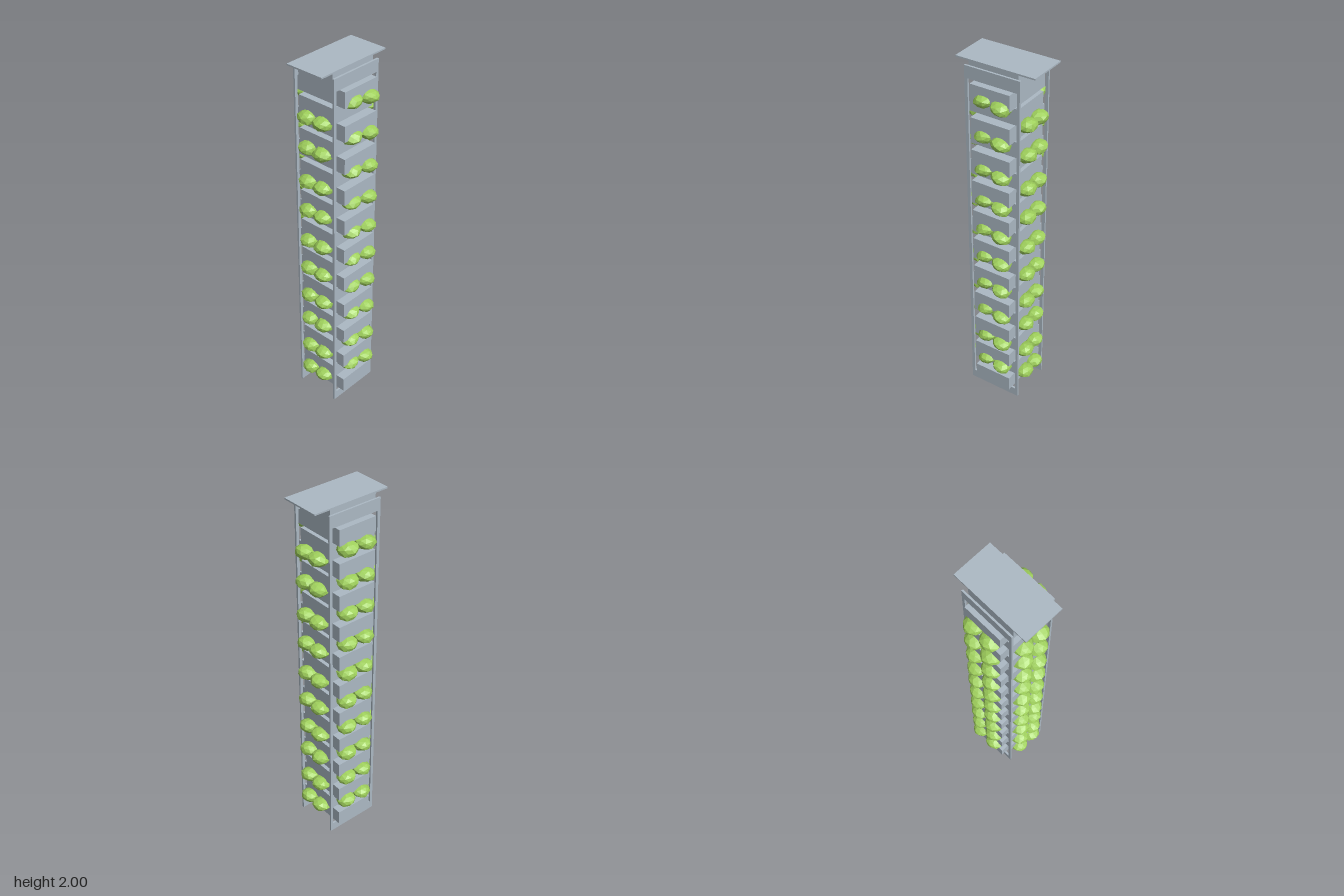
import * as THREE from 'three';

export function createModel() {
  const model = new THREE.Group();
  model.name = 'planterTower';
  const metal = new THREE.MeshStandardMaterial({ color: 0xabb8c3 });
  metal.name = 'blueGreyMetal';
  const leaf = new THREE.MeshStandardMaterial({ color: 0x9fd05c });
  leaf.name = 'leafGreen';

  // Box given by its lower and upper corners
  function box(name, [x0, y0, z0], [x1, y1, z1], parent = model) {
    const mesh = new THREE.Mesh(new THREE.BoxGeometry(x1 - x0, y1 - y0, z1 - z0), metal);
    mesh.position.set((x0 + x1) / 2, (y0 + y1) / 2, (z0 + z1) / 2);
    mesh.name = name;
    parent.add(mesh);
  }

  // Two open upright frames, one on each side
  for (const [name, x0, x1] of [['rightFrame', -0.127, -0.117], ['leftFrame', 0.121, 0.132]]) {
    const frame = new THREE.Group();
    frame.name = name;
    box('frontPost', [x0, 0, 0.14], [x1, 1.975, 0.157], frame);
    box('backPost', [x0, 0, -0.15], [x1, 1.975, -0.134], frame);
    box('bottomRail', [x0, 0, -0.134], [x1, 0.05, 0.14], frame);
    box('topRail', [x0, 1.91, -0.134], [x1, 1.975, 0.14], frame);
    model.add(frame);
  }

  // Crossed planter troughs stacked alternately
  for (let i = 0; i < 11; i++) {
    const y = 0.05 + i * 0.1768;
    box('sideTrough', [-0.15, y, -0.11], [0.157, y + 0.085, 0.11]);
    const yz = 0.146 + i * 0.1762;
    box('frontTrough', [-0.105, yz, -0.13], [0.113, yz + 0.086, 0.145]);
  }

  // Roof plate
  box('roofPlate', [-0.105, 1.992, -0.219], [0.113, 2, 0.219]);

  // Faceted leaf clump, made uneven by a position-based rule so shared corners stay joined
  const clump = new THREE.IcosahedronGeometry(1, 1).toNonIndexed();
  const p = clump.attributes.position;
  for (let i = 0; i < p.count; i++) {
    const v = new THREE.Vector3().fromBufferAttribute(p, i);
    const s = 0.98 + 0.06 * Math.sin(5 * v.x + 7 * v.y + 3 * v.z);
    p.setXYZ(i, v.x * s, v.y * s, v.z * s);
  }
  clump.computeVertexNormals();

  function plant(name, x, y, z, size, turn, tilt) {
    const mesh = new THREE.Mesh(clump, leaf);
    mesh.name = name;
    mesh.position.set(x, y, z);
    mesh.scale.set(size, 0.036, size);
    mesh.rotation.set(tilt, turn, 0);
    model.add(mesh);
  }

  // A pair of clumps on each trough end, row by row
  const frontY = [0.145, 0.305, 0.495, 0.655, 0.835, 1.01, 1.195, 1.365, 1.555, 1.72];
  const leftY = [0.21, 0.38, 0.57, 0.75, 0.925, 1.095, 1.27, 1.45, 1.635, 1.825];
  const rightY = [0.21, 0.38, 0.555, 0.735, 0.905, 1.08, 1.26, 1.44, 1.615, 1.79];
  for (let i = 0; i < 10; i++) {
    for (const s of [-1, 1]) {
      const turn = s * 0.5 + (i % 3) * 0.25;
      const across = s * 0.048;
      plant('frontPlant', across + 0.003, frontY[i], 0.148, 0.053, turn, 0);
      plant('backPlant', across + 0.01, frontY[i] - 0.003, -0.146, 0.053, turn + 1, 0.15);
      plant('leftPlant', s > 0 ? 0.138 : 0.151, leftY[i] + s * 0.004, s * 0.051 - 0.009, 0.054, turn + 2, 0.15 * s);
      plant('rightPlant', -0.147, rightY[i], s * 0.053 - 0.005, 0.055, turn + 3, 0.1 * s);
    }
  }
  return model;
}
